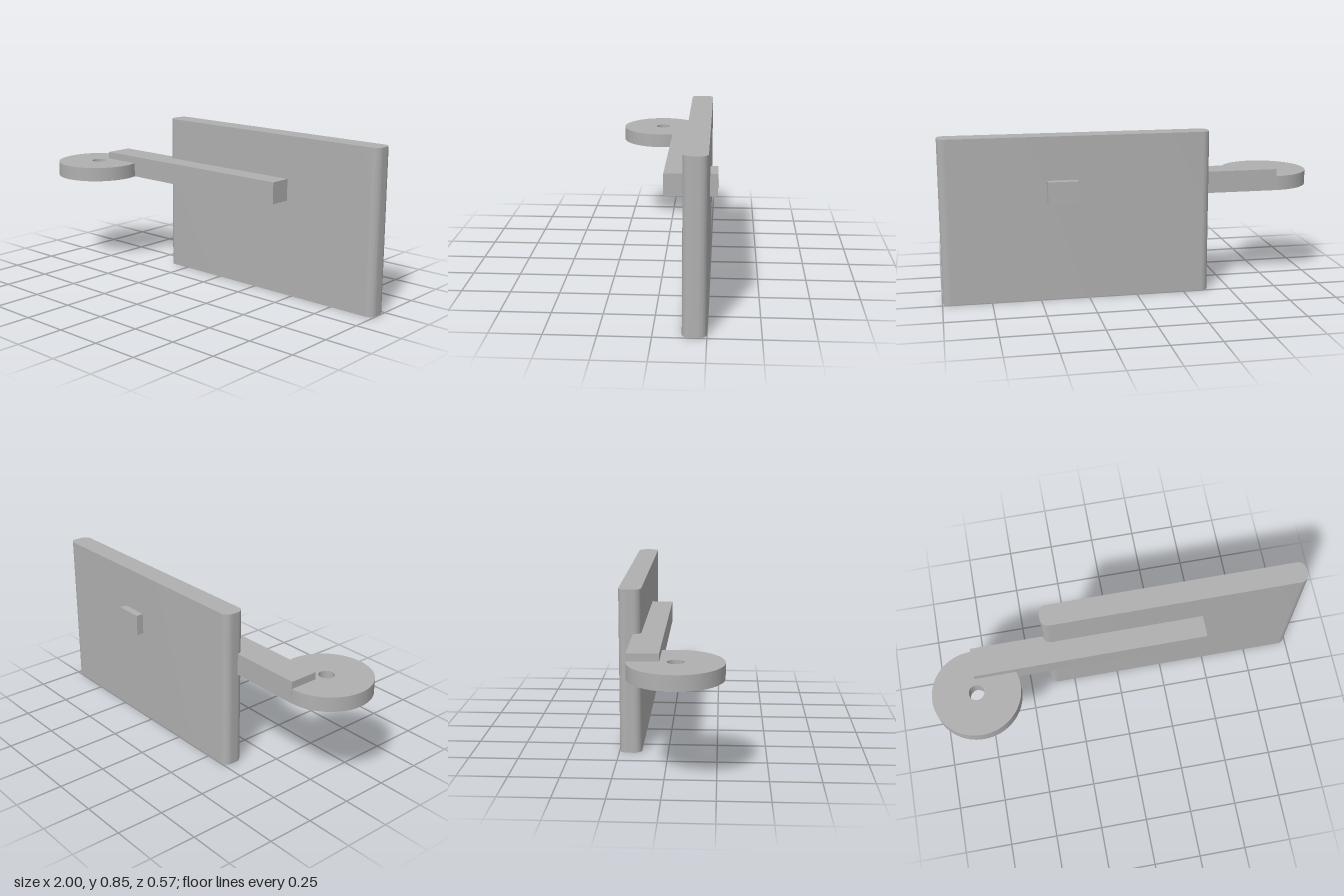
import * as THREE from 'three';
import { toCreasedNormals } from 'three/addons/utils/BufferGeometryUtils.js';

const grey = new THREE.MeshStandardMaterial({ color: 0xb0b0b0 });
grey.name = 'plain grey';

// Extrudes a plan outline (drawn with y = -z) upward from y0 to y1
function extrudeUp(shape, y0, y1, curveSegments) {
  const geometry = new THREE.ExtrudeGeometry(shape, { depth: y1 - y0, bevelEnabled: false, curveSegments });
  geometry.rotateX(-Math.PI / 2).translate(0, y0, 0);
  return toCreasedNormals(geometry, Math.PI / 6);
}

// Box given by its lower and upper corners
function boxBetween([x0, y0, z0], [x1, y1, z1]) {
  return new THREE.BoxGeometry(x1 - x0, y1 - y0, z1 - z0)
    .translate((x0 + x1) / 2, (y0 + y1) / 2, (z0 + z1) / 2);
}

// Plan outline with four rounded corners
function roundedRect(x0, y0, x1, y1, r) {
  const s = new THREE.Shape();
  s.absarc(x1 - r, y0 + r, r, -Math.PI / 2, 0);
  s.absarc(x1 - r, y1 - r, r, 0, Math.PI / 2);
  s.absarc(x0 + r, y1 - r, r, Math.PI / 2, Math.PI);
  s.absarc(x0 + r, y0 + r, r, Math.PI, Math.PI * 1.5);
  s.closePath();
  return s;
}

export function createModel() {
  const model = new THREE.Group();
  model.name = 'panelOnArm';
  const add = (name, geometry) => {
    const mesh = new THREE.Mesh(geometry, grey);
    mesh.name = name;
    model.add(mesh);
  };

  // Upright panel with rounded vertical edges
  add('panel', extrudeUp(roundedRect(-0.385, 0.135, 0.998, 0.249, 0.04), 0, 0.846, 10));

  // Horizontal arm along the front of the panel
  add('arm', boxBetween([-0.77, 0.508, -0.175], [0.46, 0.622, -0.02]));

  // Tab passing through the panel from the end of the arm
  add('tab', boxBetween([0.306, 0.508, -0.288], [0.46, 0.622, -0.1]));

  // Pivot disc with a round hole
  const disc = new THREE.Shape().absarc(-0.77, -0.056, 0.23, 0, Math.PI * 2);
  disc.holes.push(new THREE.Path().absarc(-0.77, -0.056, 0.04, 0, Math.PI * 2, true));
  add('pivotDisc', extrudeUp(disc, 0.508, 0.584, 48));

  return model;
}
